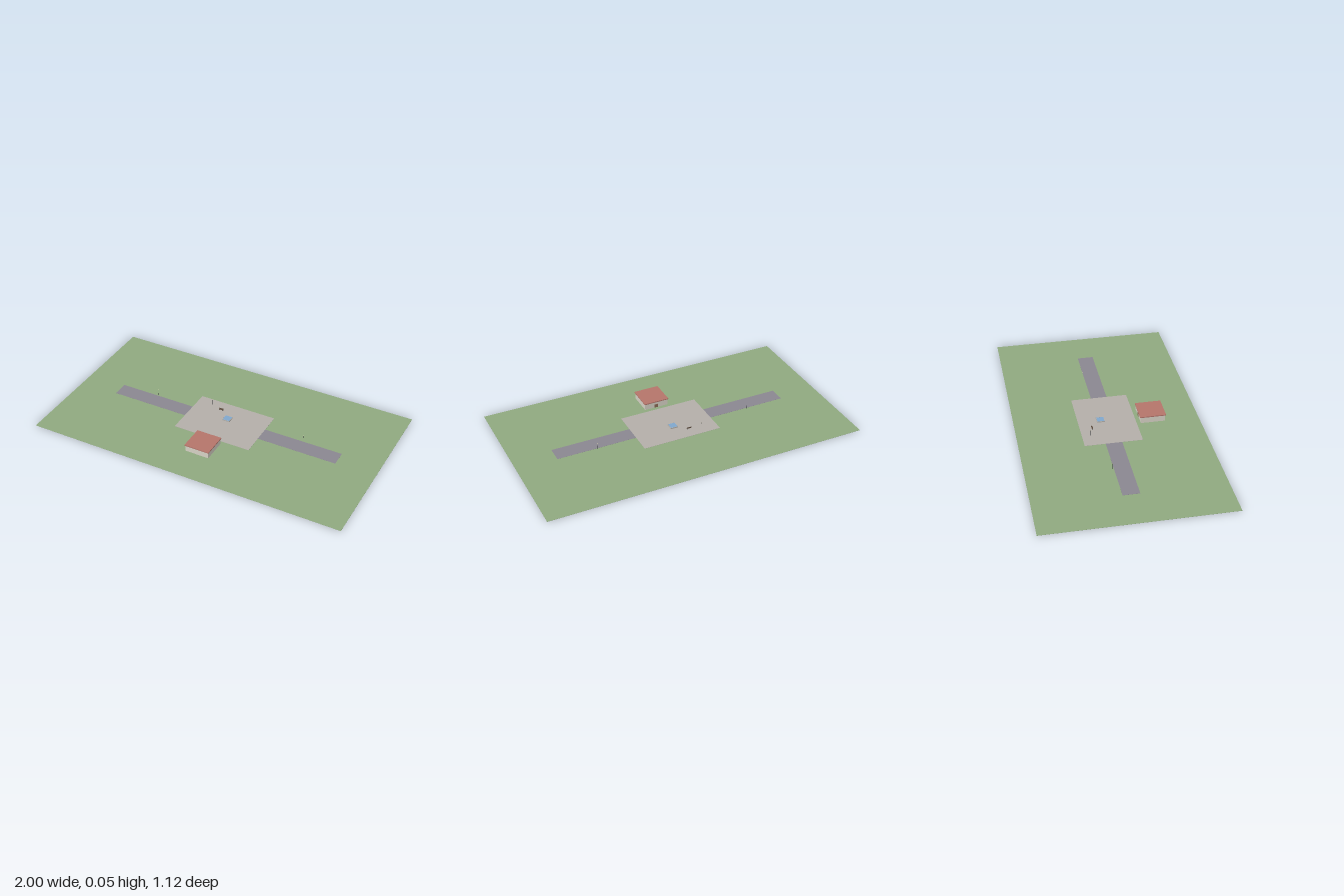
import * as THREE from 'three';

const mat = (color) => new THREE.MeshStandardMaterial({ color });
const M = {
  grass: mat(0x8fa97f), road: mat(0x8a8790), paving: mat(0xb3aea9),
  wall: mat(0xd6d1c5), roof: mat(0xb4746a), door: mat(0x8a6a55),
  stone: mat(0xb5b2ac), water: mat(0x7fa6cc), wood: mat(0x5c4a3c),
  metal: mat(0x3a3d40), glow: mat(0xe8dfb8),
};

// Box whose underside sits at height y
function box(parent, name, material, w, h, d, x, y, z) {
  const mesh = new THREE.Mesh(new THREE.BoxGeometry(w, h, d), material);
  mesh.name = name;
  mesh.position.set(x, y + h / 2, z);
  parent.add(mesh);
  return mesh;
}

function group(parent, name, x, z) {
  const g = new THREE.Group();
  g.name = name;
  g.position.set(x, 0, z);
  parent.add(g);
  return g;
}

function addLamp(parent, x, z) {
  const lamp = group(parent, 'streetLamp', x, z);
  const pole = new THREE.Mesh(new THREE.CylinderGeometry(0.0007, 0.0009, 0.04, 8), M.metal);
  pole.name = 'lampPole';
  pole.position.y = 0.02;
  const head = new THREE.Mesh(new THREE.SphereGeometry(0.002, 10, 8), M.glow);
  head.name = 'lampHead';
  head.position.y = 0.041;
  lamp.add(pole, head);
}

export function createModel() {
  const root = new THREE.Group();
  root.name = 'townSquare';

  // Flat layers: lawn, street and paved square
  box(root, 'lawn', M.grass, 2, 0.001, 1.12, 0, 0, 0);
  box(root, 'street', M.road, 1.5, 0.0005, 0.1, 0, 0.001, 0);
  box(root, 'pavedSquare', M.paving, 0.5, 0.001, 0.35, 0, 0.001, 0);

  // Hall with a flat overhanging roof; its entrance faces the square
  const hall = group(root, 'hall', 0, 0.275);
  box(hall, 'hallWalls', M.wall, 0.152, 0.039, 0.15, 0, 0.001, 0);
  box(hall, 'hallRoof', M.roof, 0.16, 0.006, 0.16, 0, 0.04, 0);
  box(hall, 'hallDoor', M.door, 0.024, 0.022, 0.002, 0, 0.001, -0.0755);

  // Square pool: rim of four walls around the water
  const pool = group(root, 'fountain', 0, -0.036);
  box(pool, 'fountainBase', M.stone, 0.048, 0.006, 0.048, 0, 0.001, 0);
  box(pool, 'fountainWater', M.water, 0.044, 0.0015, 0.044, 0, 0.007, 0);
  for (const s of [-1, 1]) {
    box(pool, 'fountainRim', M.stone, 0.002, 0.002, 0.048, s * 0.023, 0.007, 0);
    box(pool, 'fountainRim', M.stone, 0.044, 0.002, 0.002, 0, 0.007, s * 0.023);
  }

  // Bench looking toward the pool
  const bench = group(root, 'bench', -0.077, -0.1);
  box(bench, 'benchSeat', M.wood, 0.03, 0.0015, 0.008, 0, 0.006, 0);
  box(bench, 'benchBack', M.wood, 0.03, 0.006, 0.0015, 0, 0.0075, -0.0035);
  for (const s of [-1, 1]) box(bench, 'benchLeg', M.metal, 0.0015, 0.004, 0.007, s * 0.012, 0.002, 0);

  // Lamps along the street and in the corner of the square
  for (const [x, z] of [[-0.5, -0.057], [0.5, -0.057], [-0.15, -0.125]]) addLamp(root, x, z);

  return root;
}
